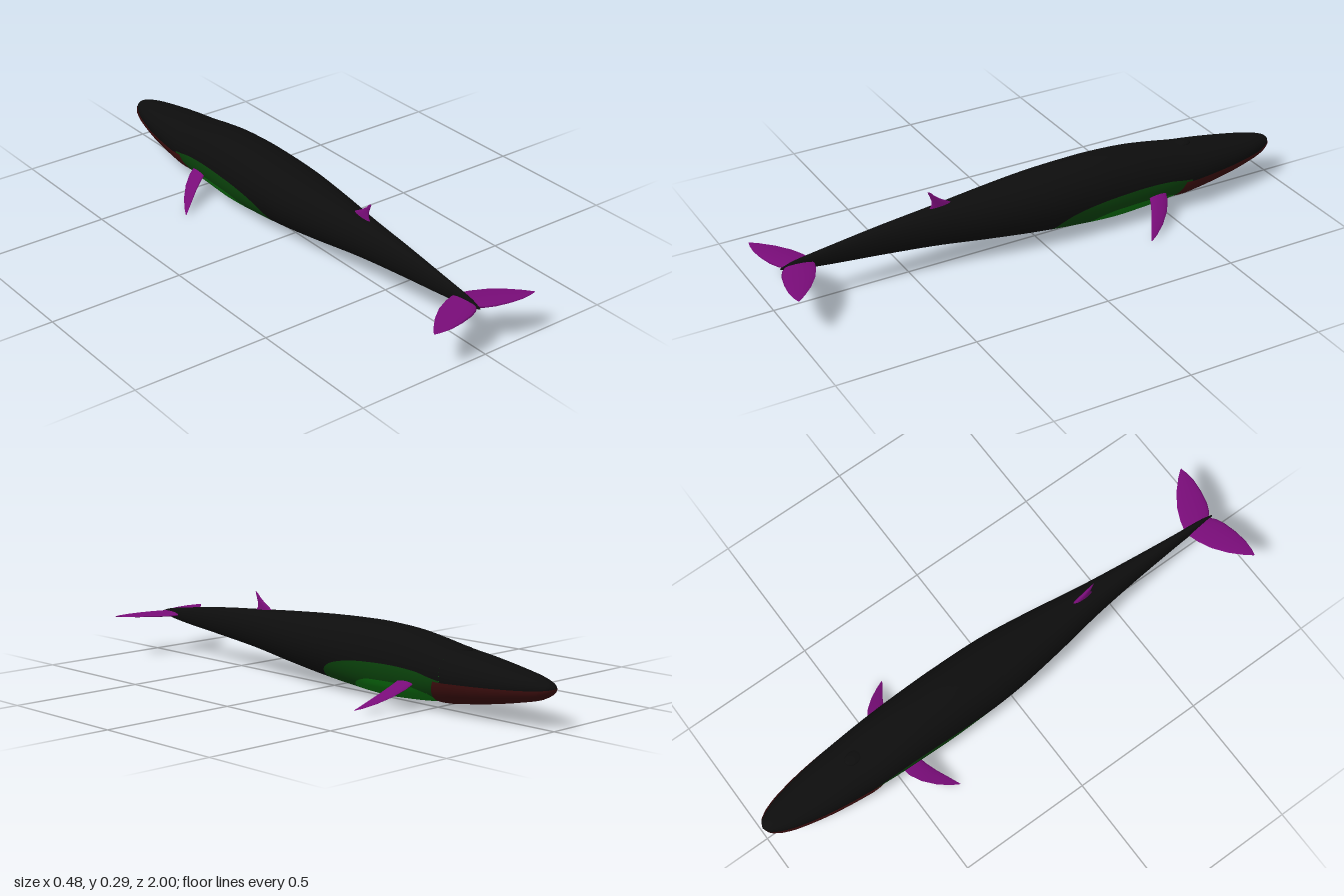
import * as THREE from 'three';

const mat = (name, color) => new THREE.MeshStandardMaterial({ name, color, side: THREE.DoubleSide });

// Body stations: z, top y, bottom y, half width (head at -z, tail at +z)
const BODY = [
  [-1, 0.141, 0.137, 0.001], [-0.99, 0.152, 0.122, 0.022], [-0.97, 0.161, 0.111, 0.036], [-0.94, 0.169, 0.1, 0.05],
  [-0.9, 0.177, 0.09, 0.064], [-0.8, 0.193, 0.069, 0.086], [-0.7, 0.208, 0.052, 0.1], [-0.6, 0.221, 0.038, 0.109],
  [-0.5, 0.239, 0.025, 0.115], [-0.4, 0.254, 0.017, 0.118], [-0.3, 0.261, 0.013, 0.12], [-0.2, 0.263, 0.018, 0.12],
  [0, 0.256, 0.037, 0.114], [0.2, 0.243, 0.06, 0.09], [0.4, 0.227, 0.085, 0.059], [0.6, 0.21, 0.104, 0.036],
  [0.8, 0.186, 0.122, 0.018], [0.92, 0.168, 0.138, 0.01], [0.965, 0.154, 0.15, 0.002],
];
// Upper edges of the painted belly areas: z, y
const BELLY = [[-0.6, 0.12], [-0.56, 0.127], [-0.5, 0.139], [-0.4, 0.145], [-0.3, 0.143], [-0.2, 0.135],
  [-0.1, 0.114], [-0.05, 0.085], [-0.03, 0.05], [-0.02, 0.02]];
const PATCH = [[-0.6, 0.03], [-0.56, 0.045], [-0.53, 0.065], [-0.45, 0.083], [-0.3, 0.083], [-0.25, 0.077],
  [-0.2, 0.058], [-0.17, 0.03], [-0.15, 0.005]];

// Smooth interpolation of one column of a table
function sample(table, z, col) {
  const n = table.length - 1;
  let i = 0;
  while (i < n - 1 && z > table[i + 1][0]) i++;
  const slope = (k) => {
    const a = table[Math.max(k - 1, 0)], b = table[Math.min(k + 1, n)];
    return (b[col] - a[col]) / (b[0] - a[0]);
  };
  const p = table[i], q = table[i + 1], d = q[0] - p[0];
  const t = THREE.MathUtils.clamp((z - p[0]) / d, 0, 1), t2 = t * t, t3 = t2 * t;
  return (2 * t3 - 3 * t2 + 1) * p[col] + (t3 - 2 * t2 + t) * d * slope(i)
    + (3 * t2 - 2 * t3) * q[col] + (t3 - t2) * d * slope(i + 1);
}

// Surface grid from a function of u and v in 0..1
function grid(nu, nv, f) {
  const pos = [], index = [];
  for (let j = 0; j <= nv; j++) for (let i = 0; i <= nu; i++) pos.push(...f(i / nu, j / nv));
  for (let j = 0; j < nv; j++) for (let i = 0; i < nu; i++) {
    const a = j * (nu + 1) + i, b = a + nu + 1;
    index.push(a, a + 1, b + 1, a, b + 1, b);
  }
  const g = new THREE.BufferGeometry();
  g.setAttribute('position', new THREE.Float32BufferAttribute(pos, 3));
  g.setIndex(index);
  g.computeVertexNormals();
  return g;
}

// Point on the body; angle runs from the keel round the +x side
function bodyPoint(z, a, off = 0) {
  const top = sample(BODY, z, 1), bottom = sample(BODY, z, 2), w = sample(BODY, z, 3) + off;
  const s = Math.sin(a), h = (top - bottom) / 2 + off;
  return [w * Math.sign(s) * Math.abs(s) ** 0.92, (top + bottom) / 2 - h * Math.cos(a), z];
}

// Angle at which the body reaches height y
function angleAt(z, y) {
  const top = sample(BODY, z, 1), bottom = sample(BODY, z, 2);
  return Math.acos(THREE.MathUtils.clamp((top + bottom - 2 * y) / (top - bottom), -1, 1));
}
const edge = (table) => (z) =>
  (z < table[0][0] || z > table.at(-1)[0] ? 0 : angleAt(z, sample(table, z, 1)));

// Lens-section fin from stations [leading edge, trailing edge, thickness]
function fin(stations, normal) {
  const n = new THREE.Vector3(...normal).normalize();
  return grid(14, stations.length - 1, (u, v) => {
    const [lead, trail, thick] = stations[Math.round(v * (stations.length - 1))];
    const th = u * Math.PI * 2;
    return new THREE.Vector3(...lead).lerp(new THREE.Vector3(...trail), (1 - Math.cos(th)) / 2)
      .addScaledVector(n, Math.sin(th) * thick / 2).toArray();
  });
}

export function createModel() {
  const model = new THREE.Group();
  model.name = 'whale';
  const black = mat('black skin', 0x0d0d0d);
  const darkGreen = mat('dark green belly', 0x0a420b);
  const green = mat('bright green belly', 0x0c740f);
  const red = mat('dark red jaw', 0x3c0e0e);
  const purple = mat('purple fins', 0x780c78);
  const add = (name, geometry, material) => {
    const m = new THREE.Mesh(geometry, material);
    m.name = name;
    model.add(m);
    return m;
  };

  // Body strips between two angle limits; rows crowd toward the snout
  const strip = (z0, z1, lo, hi, nu, nv, ease = 1) => grid(nu, nv, (u, v) => {
    const z = z0 + (z1 - z0) * v ** ease;
    return bodyPoint(z, THREE.MathUtils.lerp(lo(z), hi(z), u));
  });
  const outer = edge(BELLY), inner = edge(PATCH);
  add('back', strip(-1, -0.6, () => 0, () => Math.PI * 2, 40, 28, 2), black);
  add('body', strip(-0.6, 0, outer, (z) => Math.PI * 2 - outer(z), 40, 96), black);
  add('tailStock', strip(0, 0.965, () => 0, () => Math.PI * 2, 40, 48), black);
  add('leftBelly', strip(-0.6, 0, inner, outer, 12, 96), darkGreen);
  add('rightBelly', strip(-0.6, 0, (z) => -outer(z), (z) => -inner(z), 12, 96), darkGreen);
  add('bellyPatch', strip(-0.6, -0.14, (z) => -inner(z), inner, 16, 74), green);

  // Lower jaw shell, slightly proud of the body with a slanted rear edge
  add('lowerJaw', grid(28, 36, (u, v) => {
    const z = -1 + 0.45 * v ** 1.6;
    const a = (u * 2 - 1) * angleAt(z, 0.138 - 0.022 * v);
    const off = 0.007 * Math.min(1, v * 4, (1 - v) * 14) - (v > 0.99 ? 0.002 : 0);
    return bodyPoint(z + 0.045 * v * v * (Math.cos(a) - 0.5), a, off);
  }), red);

  // Blowhole ridge
  const ridge = add('blowhole', new THREE.SphereGeometry(1, 16, 10), black);
  ridge.scale.set(0.025, 0.011, 0.035);
  ridge.position.set(0, 0.215, -0.615);

  // Paired fins
  for (const [side, s] of [['left', 1], ['right', -1]]) {
    const flipper = [[0.09, 0.105, -0.49, -0.42, 0.018], [0.13, 0.079, -0.477, -0.405, 0.016],
      [0.165, 0.055, -0.452, -0.387, 0.012], [0.2, 0.03, -0.413, -0.365, 0.007], [0.226, 0.011, -0.372, -0.349, 0.003],
      [0.239, 0.002, -0.345, -0.341, 0.001]];
    add(side + 'Flipper', fin(flipper.map(([x, y, a, b, t]) => [[s * x, y, a], [s * x, y, b], t]),
      [s * 0.57, 0.82, 0]), purple);
    const fluke = [[0, 0.848, 0.95, 0.02], [0.02, 0.85, 0.968, 0.018], [0.05, 0.859, 0.982, 0.016], [0.1, 0.883, 0.994, 0.013],
      [0.15, 0.92, 1, 0.009], [0.19, 0.96, 0.997, 0.005], [0.213, 0.988, 0.992, 0.001]];
    add(side + 'Fluke', fin(fluke.map(([x, a, b, t]) => [[s * x, 0.152, a], [s * x, 0.152, b], t]),
      [0, 1, 0]), purple);
  }

  // Dorsal fin
  const dorsal = [[0.222, 0.315, 0.415, 0.017], [0.238, 0.34, 0.404, 0.015], [0.255, 0.37, 0.404, 0.012],
    [0.272, 0.392, 0.41, 0.008], [0.284, 0.403, 0.415, 0.004], [0.291, 0.412, 0.417, 0.001]];
  add('dorsalFin', fin(dorsal.map(([y, a, b, t]) => [[0, y, a], [0, y, b], t]), [1, 0, 0]), purple);
  return model;
}
